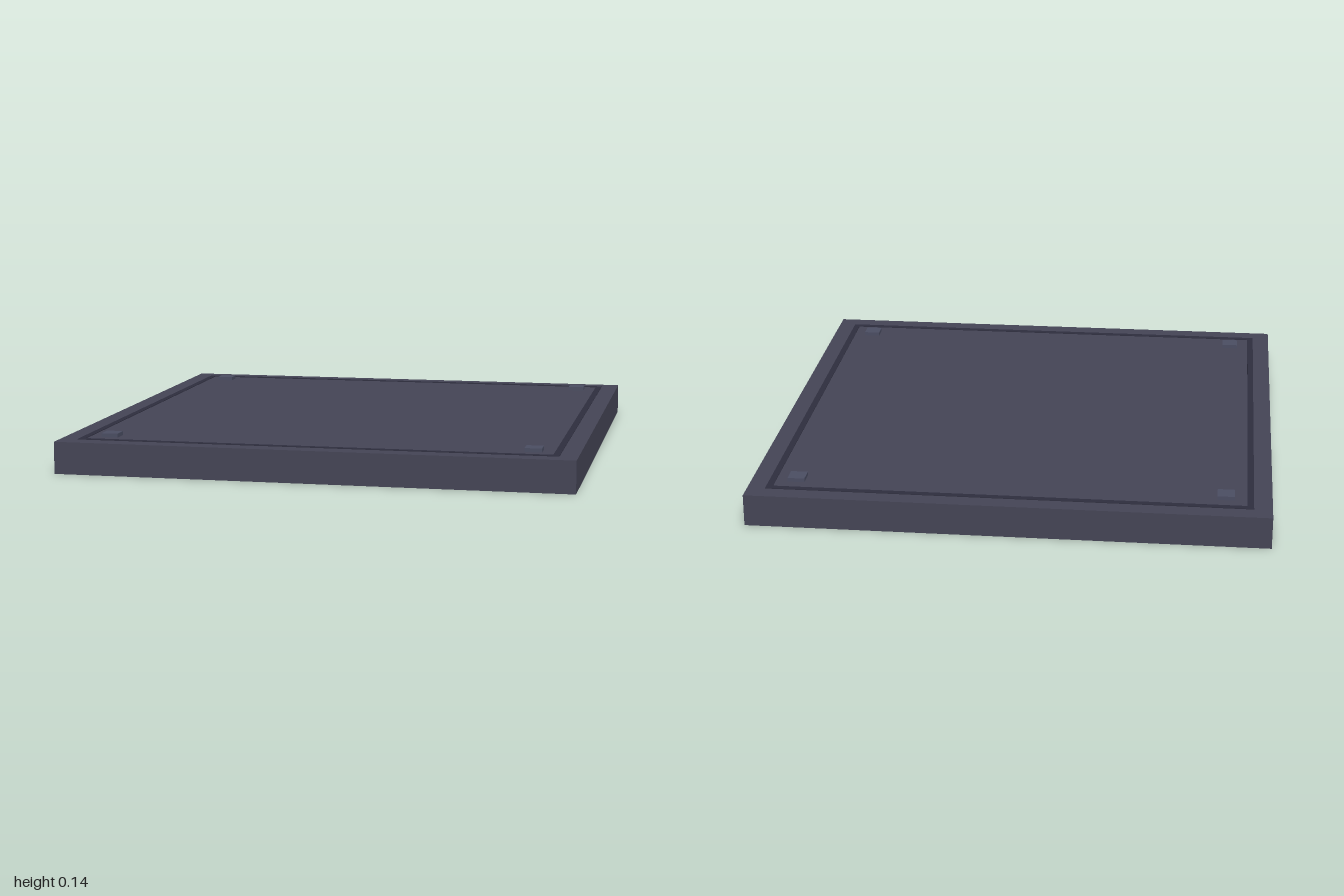
import * as THREE from 'three';

const SLAB_H = 0.125;

function addBox(parent, name, material, size, position) {
  const mesh = new THREE.Mesh(new THREE.BoxGeometry(...size), material);
  mesh.name = name;
  mesh.position.set(...position);
  parent.add(mesh);
}

export function createModel() {
  const model = new THREE.Group();
  model.name = 'floorTile';
  const slabMat = new THREE.MeshStandardMaterial({ color: 0x444455 });
  const trimMat = new THREE.MeshStandardMaterial({ color: 0x2d2d3d });
  const studMat = new THREE.MeshStandardMaterial({ color: 0x4a4d62 });

  // Square slab
  addBox(model, 'slab', slabMat, [2, SLAB_H, 2], [0, SLAB_H / 2, 0]);

  // Thin dark border strips, barely proud of the top
  const trim = new THREE.Group();
  trim.name = 'borderTrim';
  const outer = 0.93, width = 0.025, h = 0.006;
  const y = SLAB_H + 0.002 - h / 2;
  for (const s of [-1, 1]) {
    const offset = s * (outer - width / 2);
    addBox(trim, 'trimAlongX', trimMat, [outer * 2, h, width], [0, y, offset]);
    addBox(trim, 'trimAlongZ', trimMat, [width, h, (outer - width) * 2], [offset, y, 0]);
  }
  model.add(trim);

  // Small square stud near each corner
  for (const sx of [-1, 1]) {
    for (const sz of [-1, 1]) {
      addBox(model, 'cornerStud', studMat, [0.066, 0.025, 0.066],
        [sx * 0.825, SLAB_H + 0.0025, sz * 0.825]);
    }
  }
  return model;
}
